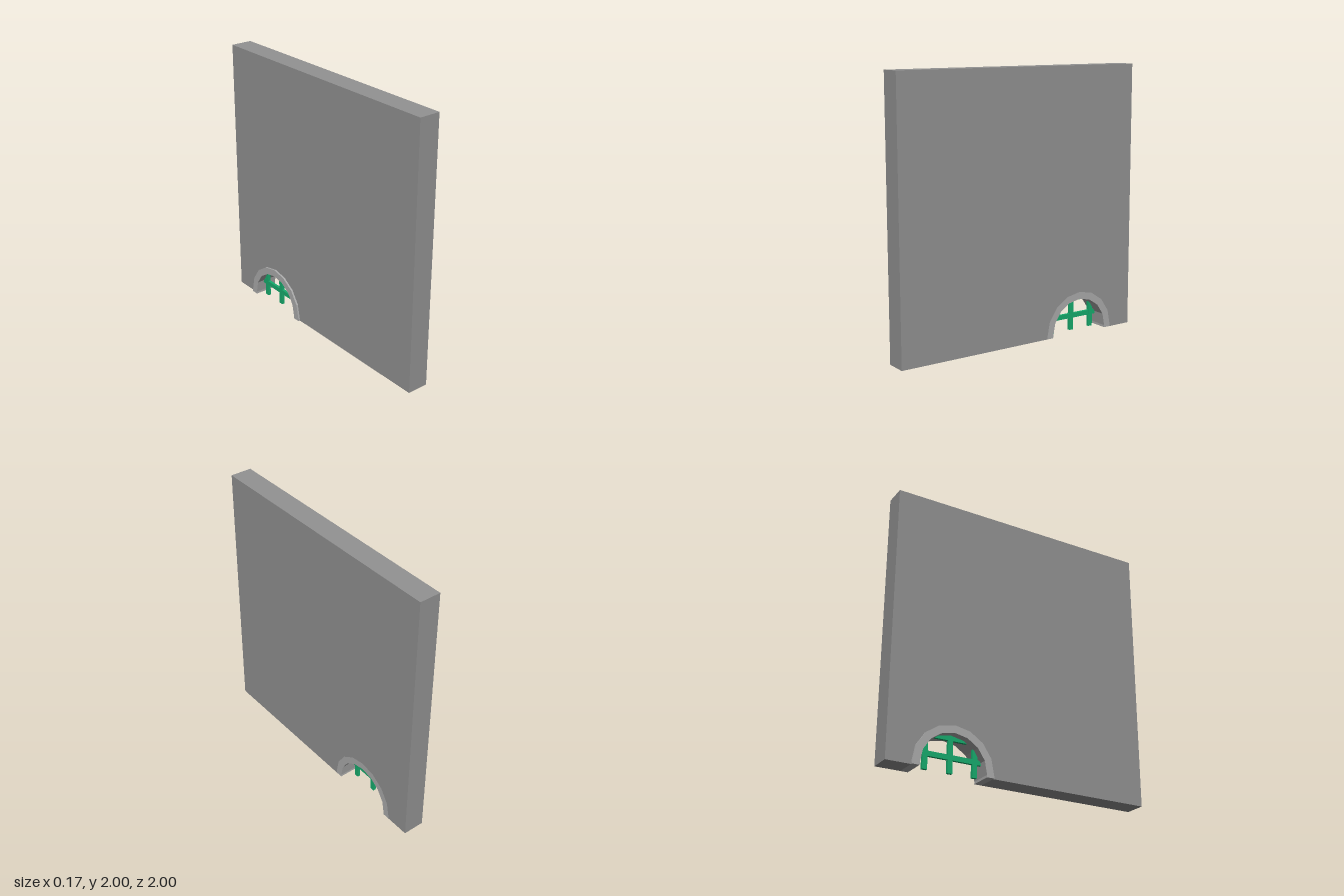
import * as THREE from 'three';

const ARCH_U = 0.52;      // arch centre, measured towards the back (-z)
const SPRING = 0.017;     // short straight foot below the round of the arch
const OUTER = 0.299, INNER = 0.245;
const SEGMENTS = 8;

// Half-round outline from foot to foot, as points (u = -z, y)
function archPoints(radius) {
  const pts = [new THREE.Vector2(ARCH_U - radius, 0)];
  for (let i = 0; i <= SEGMENTS; i++) {
    const a = Math.PI * (1 - i / SEGMENTS);
    pts.push(new THREE.Vector2(ARCH_U + radius * Math.cos(a), SPRING + radius * Math.sin(a)));
  }
  pts.push(new THREE.Vector2(ARCH_U + radius, 0));
  return pts;
}

// Extrude a (u, y) outline through the wall from x0 to x1
function slab(points, x0, x1, material, name) {
  const geo = new THREE.ExtrudeGeometry(new THREE.Shape(points), { depth: x1 - x0, bevelEnabled: false });
  geo.rotateY(Math.PI / 2).translate(x0, 0, 0);
  const mesh = new THREE.Mesh(geo, material);
  mesh.name = name;
  return mesh;
}

export function createModel() {
  const model = new THREE.Group();
  model.name = 'wallWithDrain';
  const wallGrey = new THREE.MeshStandardMaterial({ color: 0x939393, flatShading: true });
  const liningGrey = new THREE.MeshStandardMaterial({ color: 0xacacac, flatShading: true });
  const green = new THREE.MeshStandardMaterial({ color: 0x17ad6e, flatShading: true });

  // Wall panel with an arched notch in its foot
  const v = (u, y) => new THREE.Vector2(u, y);
  const outline = [v(-1, 0), ...archPoints(OUTER), v(1, 0), v(1, 2), v(-1, 2)];
  model.add(slab(outline, -0.074, 0.087, wallGrey, 'wall'));

  // Arch lining, flush on the +x side and standing proud on the -x side
  const lining = [...archPoints(OUTER), ...archPoints(INNER).reverse()];
  model.add(slab(lining, -0.088, 0.087, liningGrey, 'archLining'));

  // Flat grate bars, their ends buried in the lining
  const grate = new THREE.Group();
  grate.name = 'grate';
  const width = 0.036, reach = 0.265;
  const addBar = (name, thickness, height, length, y, z) => {
    const bar = new THREE.Mesh(new THREE.BoxGeometry(thickness, height, length), green);
    bar.position.set(-0.02, y, z);
    bar.name = name;
    grate.add(bar);
  };
  for (const dz of [-0.183, 0, 0.183]) {
    const h = SPRING + Math.sqrt(reach * reach - dz * dz);
    addBar('uprightBar', 0.022, h, width, h / 2, -ARCH_U + dz);
  }
  for (const y of [0.11, 0.244]) {
    const half = Math.sqrt(reach * reach - (y - SPRING) ** 2);
    addBar('crossBar', 0.02, width, 2 * half, y, -ARCH_U);
  }
  model.add(grate);
  return model;
}
